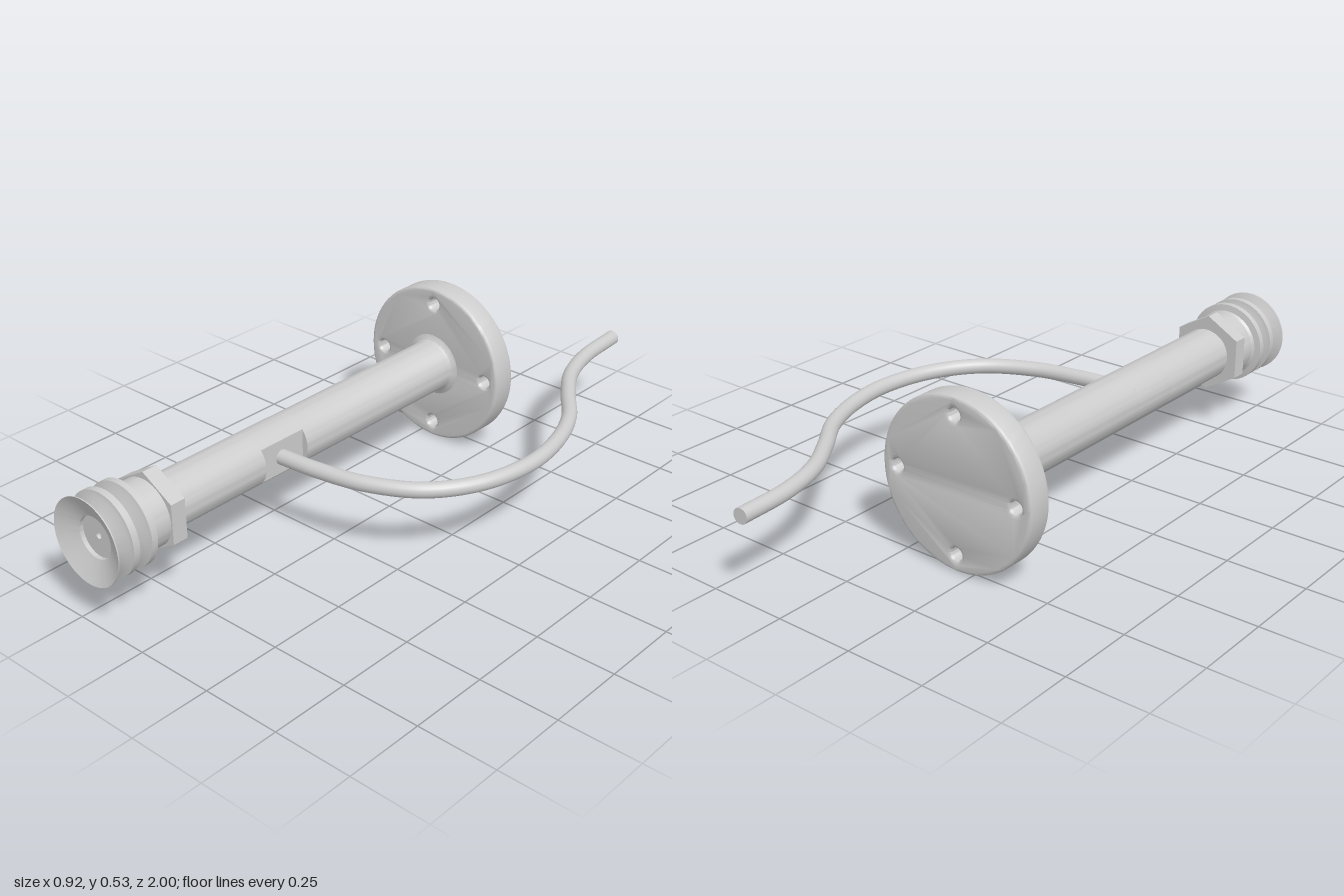
import * as THREE from 'three';
import { toCreasedNormals } from 'three/addons/utils/BufferGeometryUtils.js';

const material = new THREE.MeshStandardMaterial({ color: 0xcccccc });
const AXIS_X = -0.198, AXIS_Y = 0.267;
const TUBE_R = 0.083;

function mesh(name, geometry) {
  const m = new THREE.Mesh(geometry, material);
  m.name = name;
  return m;
}

// Turned part along z; the profile is a list of [radius, z], rising in z outside.
function turned(name, profile) {
  const g = new THREE.LatheGeometry(profile.map(([r, z]) => new THREE.Vector2(r, z)), 64);
  return mesh(name, toCreasedNormals(g.rotateX(Math.PI / 2), 0.45));
}

export function createModel() {
  const model = new THREE.Group();
  const spindle = new THREE.Group();
  spindle.name = 'spindle';
  spindle.position.set(AXIS_X, AXIS_Y, 0);
  model.add(spindle);

  // Round flange with four bolt holes and softened edges
  const disc = new THREE.Shape().absarc(0, 0, 0.253, 0, Math.PI * 2);
  for (let i = 0; i < 4; i++) {
    const a = i * Math.PI / 2;
    disc.holes.push(new THREE.Path().absarc(
      Math.cos(a) * 0.21, Math.sin(a) * 0.21, 0.03, 0, Math.PI * 2, true));
  }
  const flange = new THREE.ExtrudeGeometry(disc, {
    depth: 0.063, bevelThickness: 0.01, bevelSize: 0.01, bevelSegments: 3, curveSegments: 40,
  });
  flange.translate(0, 0, -0.513);
  spindle.add(mesh('flange', toCreasedNormals(flange, 0.6)));

  // Tube: rear with a fillet at the flange, and front with a chamfered end
  spindle.add(turned('rearTube', [
    [0.105, -0.441], [0.095, -0.437], [0.087, -0.43], [TUBE_R, -0.418], [TUBE_R, 0.235], [0, 0.235],
  ]));
  spindle.add(turned('frontTube', [
    [0, 0.405], [TUBE_R, 0.405], [TUBE_R, 0.73], [0.077, 0.738], [0.077, 0.745],
  ]));

  // Tube section with a flat milled on its left side
  const a = Math.acos(0.063 / TUBE_R);
  const section = new THREE.Shape().absarc(0, 0, TUBE_R, a, Math.PI * 2 - a);
  section.closePath();
  const flat = new THREE.ExtrudeGeometry(section, {
    depth: 0.17, bevelEnabled: false, curveSegments: 64,
  });
  spindle.add(mesh('flattedTube', toCreasedNormals(flat.translate(0, 0, 0.235), 0.45)));

  // Hex nut
  const nut = new THREE.CylinderGeometry(0.126, 0.126, 0.05, 6).rotateX(Math.PI / 2);
  nut.translate(0, 0, 0.765);
  spindle.add(mesh('hexNut', toCreasedNormals(nut, 0.45)));

  // Bellows suction cup with a hollow mouth and a small central port
  spindle.add(turned('suctionCup', [
    [0.104, 0.785], [0.104, 0.848], [0.11, 0.856], [0.13, 0.86], [0.13, 0.88],
    [0.115, 0.884], [0.08, 0.901], [0.115, 0.919], [0.13, 0.922], [0.13, 0.943],
    [0.115, 0.946], [0.08, 0.966], [0.105, 0.982], [0.133, 0.996], [0.133, 1],
    [0.105, 0.985], [0.065, 0.968], [0.065, 0.955],
    [0.01, 0.955], [0.01, 0.93], [0, 0.93],
  ]));

  // Curved hose leaving the flat and sweeping to the back
  const path = new THREE.CatmullRomCurve3([
    [-0.14, 0.322], [0, 0.31], [0.15, 0.278], [0.3, 0.195], [0.395, 0.06], [0.434, -0.12],
    [0.412, -0.285], [0.353, -0.43], [0.265, -0.55], [0.185, -0.675], [0.14, -0.82], [0.125, -1],
  ].map(([x, z]) => new THREE.Vector3(x, 0.265, z)));
  const hose = new THREE.Group();
  hose.name = 'hose';
  hose.add(mesh('hoseTube', new THREE.TubeGeometry(path, 96, 0.024, 20)));
  const cap = mesh('hoseEnd', new THREE.CircleGeometry(0.024, 20));
  cap.position.copy(path.getPoint(1));
  cap.lookAt(cap.position.clone().add(path.getTangent(1)));
  hose.add(cap);
  model.add(hose);

  return model;
}
